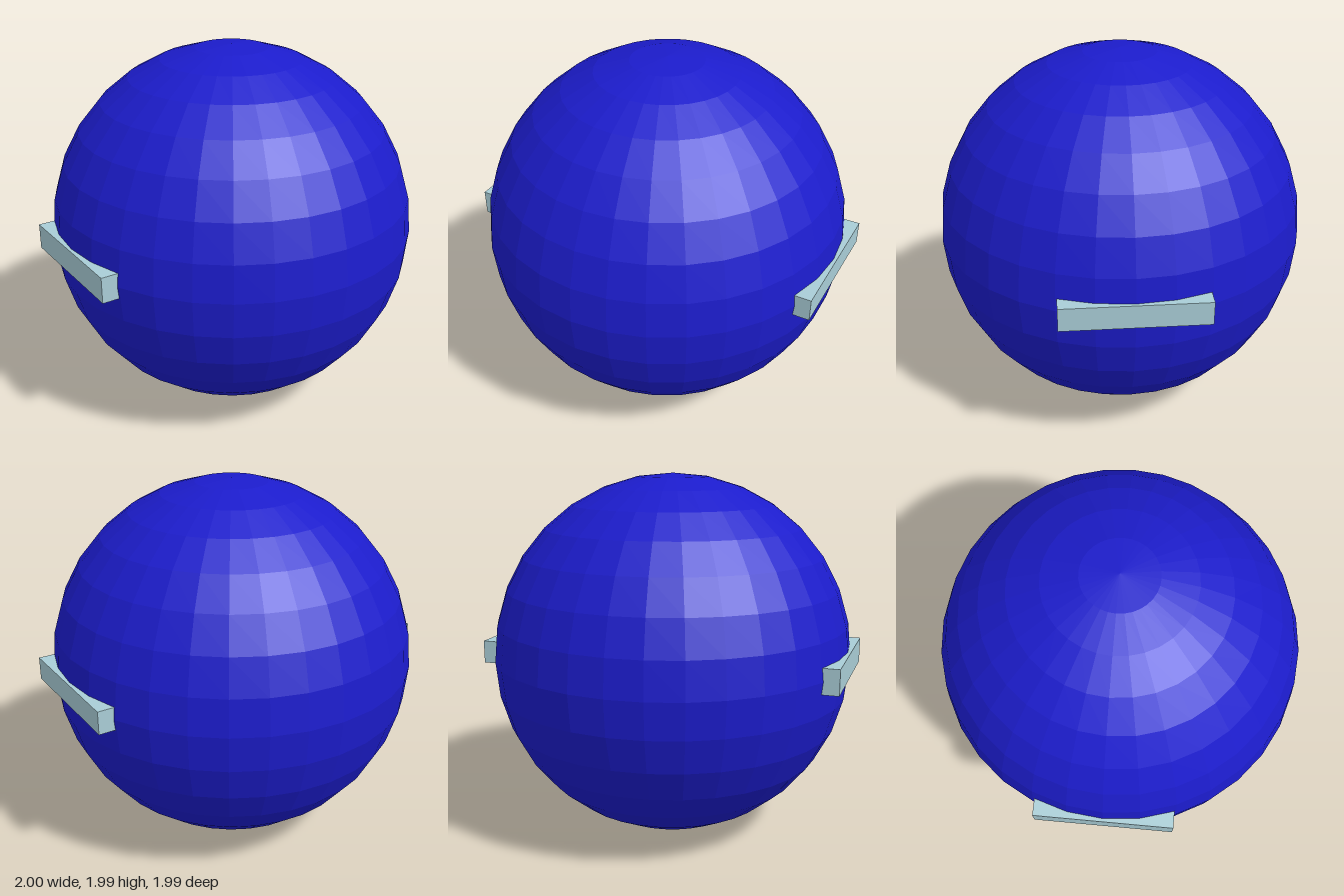
import * as THREE from 'three';

export function createModel() {
  const model = new THREE.Group();
  const bodyMaterial = new THREE.MeshStandardMaterial({ color: 0x1c1ccc, flatShading: true });
  const barMaterial = new THREE.MeshStandardMaterial({ color: 0xa9cdd6, flatShading: true });

  // Faceted round body
  const body = new THREE.Mesh(new THREE.SphereGeometry(0.995, 32, 16), bodyMaterial);
  body.name = 'sphereBody';
  body.scale.x = 0.995;
  body.position.y = 0.997;
  model.add(body);

  // One horizontal bar half sunk into each side; the right one is slightly taller
  for (const [name, side, height] of [['leftBar', 1, 0.125], ['rightBar', -1, 0.138]]) {
    const bar = new THREE.Mesh(new THREE.BoxGeometry(0.1, height, 0.74), barMaterial);
    bar.name = name;
    bar.position.set(side * 0.95, 1, 0);
    model.add(bar);
  }

  return model;
}
